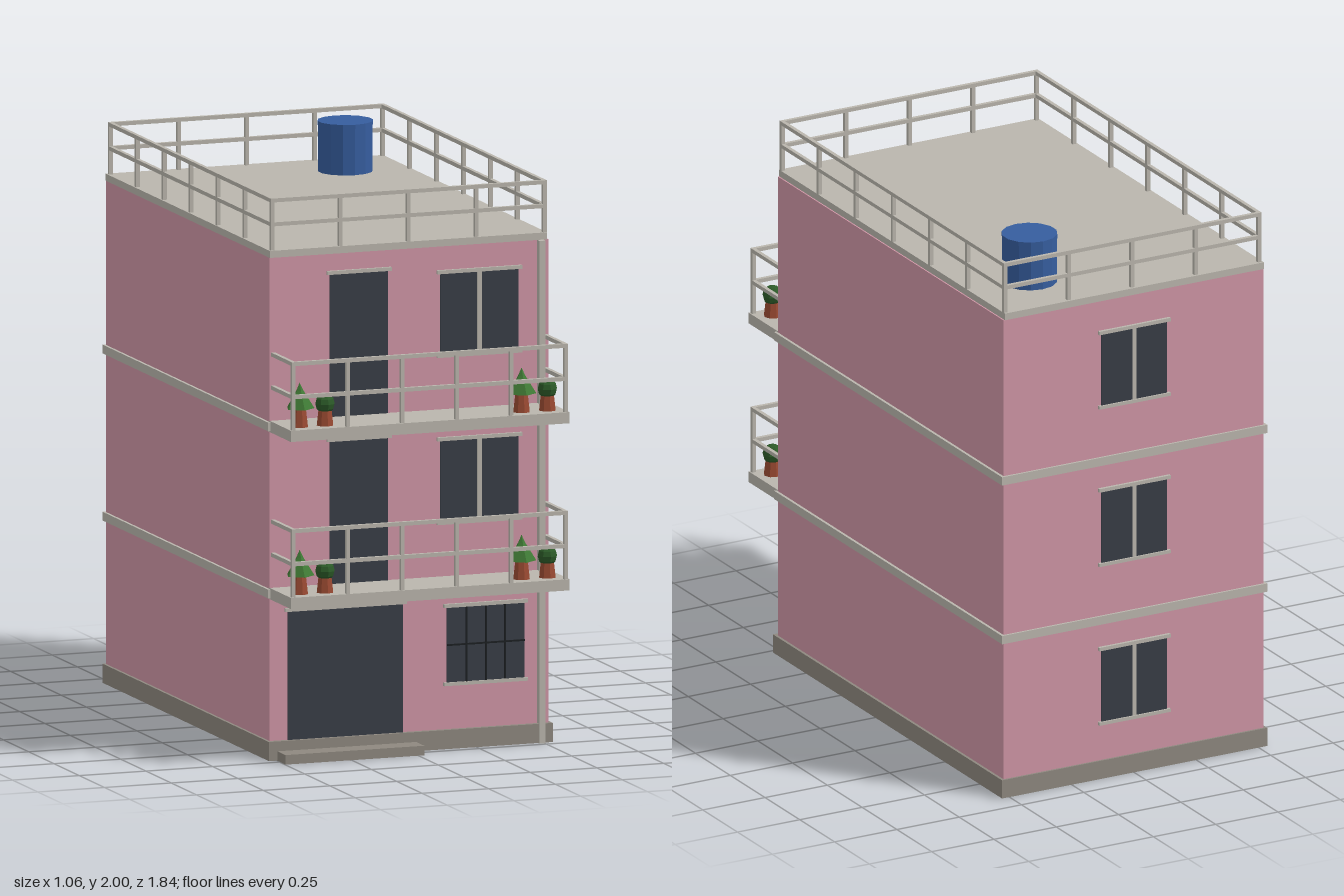
import * as THREE from 'three';

const mat = (name, color) => {
  const m = new THREE.MeshStandardMaterial({ color, flatShading: true });
  m.name = name;
  return m;
};

export function createModel() {
  const pink = mat('pink wall', 0xd096a6);
  const trim = mat('pale concrete', 0xbab6ad);
  const stone = mat('dark stone', 0x8e887f);
  const glass = mat('dark glass', 0x383d46);
  const iron = mat('black iron', 0x1c1f22);
  const blue = mat('tank blue', 0x365d9e);
  const leaf = mat('leaf green', 0x3f7a35);
  const bush = mat('bush green', 0x2c5a28);
  const clay = mat('clay', 0x9a4a32);

  const house = new THREE.Group();
  house.name = 'house';

  const add = (parent, name, geo, material, x = 0, y = 0, z = 0) => {
    const m = new THREE.Mesh(geo, material);
    m.name = name;
    m.position.set(x, y, z);
    parent.add(m);
    return m;
  };
  // Box given by its limits on each axis
  const box = (parent, name, material, x0, x1, y0, y1, z0, z1) =>
    add(parent, name, new THREE.BoxGeometry(x1 - x0, y1 - y0, z1 - z0), material,
      (x0 + x1) / 2, (y0 + y1) / 2, (z0 + z1) / 2);
  const group = (name) => {
    const g = new THREE.Group();
    g.name = name;
    house.add(g);
    return g;
  };

  const FRONT = 0.712, BACK = -0.91;

  // Main mass, plinth, entrance step, roof slab
  box(house, 'walls', pink, -0.522, 0.522, 0, 1.79, BACK, FRONT);
  box(house, 'plinth', stone, -0.532, 0.532, 0.002, 0.07, -0.918, 0.73);
  box(house, 'entranceStep', stone, -0.5, 0.02, 0.001, 0.035, 0.72, 0.81);
  box(house, 'roofSlab', trim, -0.522, 0.517, 1.79, 1.815, -0.912, 0.713);
  box(house, 'drainPipe', trim, 0.48, 0.503, 0.0, 1.79, 0.71, 0.735);

  // Railing: rails along a polyline, posts evenly spaced on each side
  const T = 0.014;
  const railing = (name, points, counts, floor, heights, openEnds) => {
    const g = group(name);
    const top = heights[heights.length - 1];
    points.slice(1).forEach((b, i) => {
      const a = points[i];
      for (const h of heights) {
        box(g, 'rail', trim,
          Math.min(a[0], b[0]) - T / 2, Math.max(a[0], b[0]) + T / 2, h - T, h,
          Math.min(a[1], b[1]) - T / 2, Math.max(a[1], b[1]) + T / 2);
      }
      const first = openEnds && i === 0 ? 1 : 0;
      for (let k = first; k < counts[i]; k++) {
        const t = k / counts[i];
        const x = a[0] + (b[0] - a[0]) * t, z = a[1] + (b[1] - a[1]) * t;
        box(g, 'post', trim, x - T / 2, x + T / 2, floor, top, z - T / 2, z + T / 2);
      }
    });
  };
  railing('roofRailing',
    [[-0.51, 0.702], [0.51, 0.702], [0.51, -0.897], [-0.51, -0.897], [-0.51, 0.702]],
    [4, 6, 4, 6], 1.815, [1.915, 2.0], false);

  // Water tank with a slim lid
  const tank = group('waterTank');
  tank.position.set(0.284, 1.815, -0.67);
  add(tank, 'tankBody', new THREE.CylinderGeometry(0.097, 0.097, 0.165, 14), blue, 0, 0.0825, 0);
  add(tank, 'tankLid', new THREE.CylinderGeometry(0.099, 0.099, 0.015, 14), blue, 0, 0.1725, 0);

  // Opening on the front (dir 1) or back (dir -1): pane, lintel, optional sill and mullion
  const opening = (name, dir, x0, x1, y0, y1, { sill = false, mullion = false } = {}) => {
    const g = group(name);
    const w = dir > 0 ? FRONT : BACK;
    const plate = (n, m, a, b, c, d, depth) =>
      box(g, n, m, a, b, c, d, Math.min(w, w + dir * depth), Math.max(w, w + dir * depth));
    plate('pane', glass, x0, x1, y0, y1, 0.005);
    plate('lintel', trim, x0 - 0.012, x1 + 0.012, y1, y1 + 0.013, 0.011);
    if (sill) plate('sill', trim, x0 - 0.012, x1 + 0.012, y0 - 0.012, y0, 0.011);
    if (mullion) {
      const c = (x0 + x1) / 2;
      plate('mullion', trim, c - 0.008, c + 0.008, y0, y1, 0.008);
    }
    return plate;
  };

  // Ground floor: garage door and barred window
  opening('garageDoor', 1, -0.455, -0.024, 0.07, 0.527);
  const barPlate = opening('barredWindow', 1, 0.14, 0.43, 0.237, 0.503, { sill: true });
  for (const x of [0.213, 0.285, 0.357]) barPlate('bar', iron, x - 0.003, x + 0.003, 0.237, 0.503, 0.009);
  barPlate('crossBar', iron, 0.14, 0.43, 0.367, 0.373, 0.009);

  // Back windows, one per floor
  for (const y of [0.215, 0.81, 1.4]) {
    opening('backWindow', -1, -0.131, 0.131, y, y + 0.267, { sill: true, mullion: true });
  }

  // Potted plants
  const pottedTree = (x, y) => {
    const g = group('pottedTree');
    g.position.set(x, y, 0.855);
    add(g, 'pot', new THREE.CylinderGeometry(0.022, 0.031, 0.075, 8), clay, 0, 0.0375, 0);
    add(g, 'lowerFoliage', new THREE.ConeGeometry(0.052, 0.085, 5), leaf, 0, 0.108, 0);
    add(g, 'upperFoliage', new THREE.ConeGeometry(0.033, 0.07, 5), leaf, 0, 0.122, 0);
  };
  const pottedBush = (x, y) => {
    const g = group('pottedBush');
    g.position.set(x, y, 0.857);
    add(g, 'pot', new THREE.CylinderGeometry(0.024, 0.031, 0.06, 8), clay, 0, 0.03, 0);
    add(g, 'foliage', new THREE.SphereGeometry(0.036, 8, 6), bush, 0, 0.077, 0);
  };

  // Upper floors: string course, balcony, door, window and plants
  for (const y of [0.615, 1.21]) {
    box(house, 'floorBand', trim, -0.532, 0.532, y - 0.035, y - 0.004, -0.918, 0.722);
    box(house, 'balconySlab', trim, -0.522, 0.522, y - 0.04, y, 0.7, 0.922);
    railing('balconyRailing',
      [[-0.51, 0.72], [-0.51, 0.912], [0.51, 0.912], [0.51, 0.72]],
      [1, 5, 1], y, [y + 0.125, y + 0.243], true);
    opening('balconyDoor', 1, -0.298, -0.08, y, y + 0.507);
    opening('frontWindow', 1, 0.115, 0.408, y + 0.197, y + 0.483, { sill: true, mullion: true });
    pottedTree(-0.464, y);
    pottedBush(-0.37, y);
    pottedTree(0.367, y);
    pottedBush(0.463, y);
  }

  return house;
}
